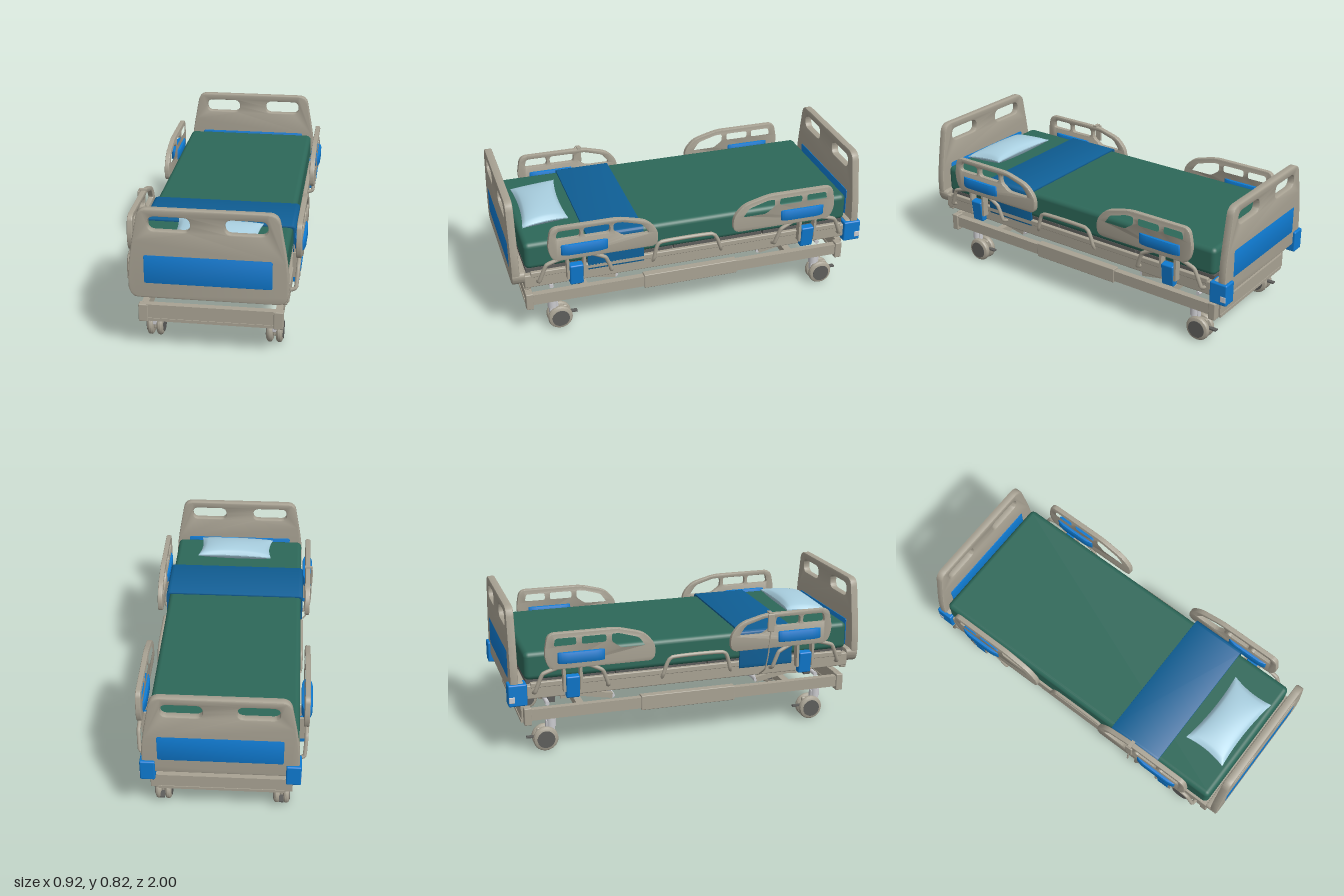
import * as THREE from 'three';
import { toCreasedNormals } from 'three/addons/utils/BufferGeometryUtils.js';
import { RoundedBoxGeometry } from 'three/addons/geometries/RoundedBoxGeometry.js';

const mat = (name, color) => Object.assign(new THREE.MeshStandardMaterial({ color }), { name });
const beige = mat('beige plastic', 0xa8a293);
const blue = mat('bright blue', 0x0f7ad0);
const navy = mat('blanket blue', 0x0f5f96);
const green = mat('mattress green', 0x2d6859);
const pale = mat('pillow blue', 0xa9cfe0);
const white = mat('light grey', 0xcbcbcf);
const dark = mat('dark grey', 0x5e5e5c);

// Closed outline with rounded corners
function roundPoly(pts, r, Type = THREE.Shape) {
  const s = new Type();
  const v = pts.map(p => new THREE.Vector2(...p));
  v.forEach((c, i) => {
    const toward = q => c.clone().lerp(q, Math.min(r / c.distanceTo(q), 0.49));
    const a = toward(v[(i + v.length - 1) % v.length]), b = toward(v[(i + 1) % v.length]);
    i ? s.lineTo(a.x, a.y) : s.moveTo(a.x, a.y);
    s.quadraticCurveTo(c.x, c.y, b.x, b.y);
  });
  s.closePath();
  return s;
}
const rect = (x0, x1, y0, y1) => [[x0, y0], [x1, y0], [x1, y1], [x0, y1]];

// Extrusion centred on its depth, with a small bevel
function slab(shape, depth, bevel = 0.005) {
  const g = new THREE.ExtrudeGeometry(shape, {
    depth: depth - 2 * bevel, bevelSize: bevel, bevelThickness: bevel, bevelOffset: -bevel,
    bevelSegments: 2, bevelEnabled: bevel > 0, curveSegments: 8,
  });
  g.translate(0, 0, bevel - depth / 2);
  return toCreasedNormals(g, 0.6);
}

export function createModel() {
  const model = new THREE.Group();
  model.name = 'hospitalBed';

  const add = (name, geo, material, x = 0, y = 0, z = 0, parent = model) => {
    const m = new THREE.Mesh(geo, material);
    m.name = name;
    m.position.set(x, y, z);
    parent.add(m);
    return m;
  };
  // Box given by its limits, optionally rounded
  const box = (name, material, [x0, x1], [y0, y1], [z0, z1], r = 0, parent = model) => {
    const d = [x1 - x0, y1 - y0, z1 - z0];
    const g = r ? new RoundedBoxGeometry(...d, 3, r) : new THREE.BoxGeometry(...d);
    return add(name, g, material, (x0 + x1) / 2, (y0 + y1) / 2, (z0 + z1) / 2, parent);
  };
  const tube = (name, material, pts, r, parent = model) => add(name, new THREE.TubeGeometry(
    new THREE.CatmullRomCurve3(pts.map(p => new THREE.Vector3(...p)), false, 'catmullrom', 0.2),
    28, r, 8), material, 0, 0, 0, parent);
  const rod = (name, material, len, r, x, y, z) =>
    add(name, new THREE.CylinderGeometry(r, r, len, 20).rotateZ(Math.PI / 2), material, x, y, z);
  // Straight square bar between two points of the y-z plane
  const bar = (name, material, x, [y0, z0], [y1, z1], w, h) => {
    const m = add(name, new THREE.BoxGeometry(w, h, Math.hypot(y1 - y0, z1 - z0)), material,
      x, (y0 + y1) / 2, (z0 + z1) / 2);
    m.rotation.x = -Math.atan2(y1 - y0, z1 - z0);
  };

  // Head and foot boards with grip holes and blue panels on both faces
  const outline = [[-0.375, 0.34], [0.375, 0.34], [0.4, 0.38], [0.4, 0.49], [0.385, 0.6],
    [0.345, 0.82], [-0.345, 0.82], [-0.385, 0.6], [-0.4, 0.49], [-0.4, 0.38]];
  const skirt = [[-0.375, 0.34], [0.375, 0.34], [0.4, 0.38], [0.4, 0.42], [-0.4, 0.42], [-0.4, 0.38]];
  for (const [name, zOut, s] of [['headBoard', 1, 1], ['footBoard', -0.985, -1]]) {
    const board = new THREE.Group();
    board.name = name;
    model.add(board);
    const shape = roundPoly(outline, 0.05);
    for (const a of [-0.295, 0.085])
      shape.holes.push(roundPoly(rect(a, a + 0.21, 0.705, 0.78), 0.037, THREE.Path));
    add(name + 'Panel', slab(shape, 0.042, 0.007), beige, 0, 0, zOut - s * 0.021, board);
    add(name + 'Skirt', slab(roundPoly(skirt, 0.03), 0.068), beige, 0, 0, zOut - s * 0.036, board);
    for (const z of [zOut, zOut - s * 0.042])
      add(name + 'Inlay', slab(roundPoly(rect(-0.32, 0.32, 0.422, 0.575), 0.012), 0.007, 0.002),
        blue, 0, 0, z - s * (z === zOut ? 0.003 : 0), board);
  }

  // Bedding
  box('mattress', green, [-0.394, 0.382], [0.425, 0.58], [-0.91, 0.925], 0.028);
  const drape = roundPoly([[-0.405, 0.375], [-0.405, 0.59], [0.4, 0.59], [0.4, 0.375],
    [0.388, 0.375], [0.388, 0.578], [-0.396, 0.578], [-0.396, 0.375]], 0.025);
  add('blanket', slab(drape, 0.31, 0.002), navy, 0, 0, 0.435);
  const pillow = new THREE.BoxGeometry(2, 2, 2, 28, 1, 20);
  const p = pillow.attributes.position;
  for (let i = 0; i < p.count; i++) {
    const u = p.getX(i), v = p.getZ(i), e = (1 - u * u) * (1 - v * v);
    p.setXYZ(i, u * 0.222 * (1 - 0.07 * (1 - v * v)), Math.sign(p.getY(i)) * (0.003 + 0.042 * e ** 0.45),
      v * 0.124 * (1 - 0.13 * (1 - u * u)));
  }
  pillow.computeVertexNormals();
  add('pillow', pillow, pale, 0.013, 0.61, 0.77).rotation.set(0.1, -0.03, 0);

  // Mattress deck: side rails, cross bars and dark panels
  for (const [a, b] of [[-0.9, -0.42], [-0.41, 0.1], [0.11, 0.4], [0.41, 0.92]])
    box('deckPanel', dark, [-0.365, 0.365], [0.4, 0.425], [a, b]);
  for (const z of [-0.91, -0.41, 0.1, 0.4, 0.91])
    box('deckCrossBar', beige, [-0.37, 0.37], [0.345, 0.4], [z - 0.02, z + 0.02]);
  box('headEndBeam', beige, [-0.39, 0.39], [0.31, 0.37], [0.9, 0.935], 0.006);
  box('footEndBeam', beige, [-0.39, 0.39], [0.31, 0.37], [-0.94, -0.9], 0.006);

  // Wheeled base: end beams and motor parts
  for (const s of [-1, 1]) {
    box('baseEndBeam', beige, [-0.33, 0.33], [0.185, 0.25], [s * 0.91 - 0.014, s * 0.91 + 0.014]);
    for (const y of [0.178, 0.255])
      box('baseBeamLip', beige, [-0.33, 0.33], [y - 0.008, y + 0.008], [s * 0.91 - 0.018, s * 0.91 + 0.018]);
    rod('liftAxle', white, 0.62, 0.014, 0, 0.262, s * 0.42);
    rod('liftPivot', white, 0.56, 0.014, 0, 0.31, s * 0.72);
    box('baseCrossBar', beige, [-0.33, 0.33], [0.2, 0.24], [s * 0.6 - 0.02, s * 0.6 + 0.02]);
    for (const x of [-0.16, 0.16])
      box('liftBracket', beige, [x - 0.05, x + 0.05], [0.245, 0.28], [s * 0.78 - 0.03, s * 0.78 + 0.03], 0.005);
    rod('endAxle', white, 0.64, 0.012, 0, 0.26, s * 0.78);
  }
  for (const x of [-0.13, 0.13])
    box('underTray', white, [x - 0.1, x + 0.1], [0.285, 0.33], [0.6, 0.85], 0.018);
  box('motorHousing', white, [-0.11, 0.11], [0.29, 0.37], [0.3, 0.58], 0.03);
  rod('motor', white, 0.24, 0.05, 0.16, 0.305, 0.33);
  box('footMotor', white, [-0.08, 0.08], [0.285, 0.34], [-0.5, -0.31], 0.02);
  for (const s of [-1, 1])
    bar('actuator', white, s * 0.12, [0.31, -0.4], [0.33, -0.72], 0.035, 0.035);

  // One caster: twin wheels on a forked stem with a brake pedal
  const tread = [[0, -0.018], [0.052, -0.018], [0.063, -0.013], [0.068, -0.005], [0.068, 0.005],
    [0.063, 0.013], [0.052, 0.018], [0, 0.018]].map(q => new THREE.Vector2(...q));
  const wheelGeo = toCreasedNormals(new THREE.LatheGeometry(tread, 28).rotateZ(-Math.PI / 2), 0.5);
  const hubGeo = new THREE.CylinderGeometry(0.048, 0.048, 0.004, 28).rotateZ(Math.PI / 2);
  function caster(x, z) {
    const c = new THREE.Group();
    c.name = 'caster';
    c.position.set(x, 0, z);
    model.add(c);
    for (const s of [-1, 1]) {
      add('wheel', wheelGeo, beige, s * 0.025, 0.068, 0, c);
      add('hubCap', hubGeo, dark, s * 0.0435, 0.068, 0, c);
    }
    box('casterFork', white, [-0.014, 0.014], [0.075, 0.17], [0.005, 0.055], 0.006, c);
    add('casterStem', new THREE.CylinderGeometry(0.027, 0.027, 0.06, 20), white, 0, 0.16, 0.036, c);
    box('casterCover', beige, [-0.01, 0.01], [0.05, 0.125], [-0.045, 0.045], 0.008, c);
    box('brakePedal', dark, [-0.012, 0.012], [0.073, 0.081], [-0.1, -0.05], 0, c);
  }

  // Folding side guard in the z-y plane; k = 1 near the head, -1 near the foot
  const guardLine = [[0.785, 0.49], [0.812, 0.57], [0.79, 0.69], [0.42, 0.69], [0.27, 0.65],
    [0.21, 0.58], [0.215, 0.49]];
  const guardHoles = [[[0.765, 0.615], [0.755, 0.665], [0.635, 0.665], [0.635, 0.615]],
    rect(0.475, 0.615, 0.615, 0.665),
    [[0.455, 0.615], [0.455, 0.665], [0.41, 0.665], [0.3, 0.632], [0.26, 0.575], [0.4, 0.575]]];
  function guard(side, k) {
    const g = new THREE.Group();
    g.name = 'sideGuard';
    model.add(g);
    const flip = pts => pts.map(([u, y]) => [u * k, y]);
    const shape = roundPoly(flip(guardLine), 0.04);
    for (const h of guardHoles) shape.holes.push(roundPoly(flip(h), 0.018, THREE.Path));
    add('guardPanel', slab(shape, 0.028).rotateY(-Math.PI / 2), beige, side * 0.431, 0, 0, g);
    const swell = roundPoly([[-0.13, -0.018], [-0.085, -0.029], [0.085, -0.029], [0.13, -0.018],
      [0.13, 0.018], [0.085, 0.029], [-0.085, 0.029], [-0.13, 0.018]], 0.02);
    add('guardGrip', slab(swell, 0.062, 0.006).rotateX(Math.PI / 2).rotateY(Math.PI / 2),
      blue, side * 0.431, 0.553, k * 0.615, g);
    const limb = pts => tube('guardLink', beige, pts.map(([x, y, u]) => [side * x, y, k * u]), 0.011, g);
    limb([[0.39, 0.36, 0.865], [0.425, 0.375, 0.86], [0.432, 0.47, 0.82], [0.432, 0.497, 0.74]]);
    limb([[0.39, 0.36, 0.465], [0.425, 0.375, 0.468], [0.432, 0.46, 0.5], [0.432, 0.497, 0.57]]);
    const mount = box('guardMount', blue, [-0.022, 0.022], [-0.062, 0.062], [-0.037, 0.037], 0.008, g);
    mount.position.set(side * 0.414, 0.383, k * 0.66);
    mount.rotation.z = -side * 0.12;
    for (const u of [0.615, 0.705])
      box('mountCheek', beige, [side * 0.415 - 0.02, side * 0.415 + 0.02], [0.36, 0.495],
        [k * u - 0.007, k * u + 0.007], 0, g);
  }

  // Everything that is mirrored left and right
  for (const s of [-1, 1]) {
    const span = (c, w) => [s * c - w, s * c + w];
    box('deckRail', beige, span(0.382, 0.016), [0.325, 0.4], [-0.9, 0.935], 0.006);
    box('deckRailCap', beige, span(0.388, 0.012), [0.385, 0.415], [-0.88, 0.9], 0.005);
    box('baseRail', beige, span(0.345, 0.018), [0.188, 0.25], [-0.9, 0.9]);
    box('baseSleeve', beige, span(0.345, 0.022), [0.177, 0.26], [-0.27, 0.27], 0.004);
    for (const z of [-0.895, 0.91])
      box('baseCorner', beige, span(0.346, 0.025), [0.165, 0.262], [z - 0.02, z + 0.02], 0.005);
    box('cornerBumper', blue, span(0.372, 0.039), [0.295, 0.415], [-1, -0.9], 0.008);
    box('bumperRoller', white, span(0.395, 0.018), [0.315, 0.35], [-0.997, -0.965], 0.004);
    for (const z of [0.745, -0.8]) caster(s * 0.315, z);
    for (const k of [-1, 1]) {
      guard(s, k);
      bar('liftArm', beige, s * 0.3, [0.262, k * 0.42], [0.325, k * 0.76], 0.025, 0.03);
      bar('liftLink', beige, s * 0.27, [0.295, k * 0.4], [0.275, k * 0.7], 0.02, 0.025);
      box('liftPost', dark, span(0.257, 0.013), [0.245, 0.345], [k * 0.75 - 0.02, k * 0.75 + 0.02]);
    }
    tube('sideHandle', beige, [[s * 0.385, 0.36, 0.235], [s * 0.4, 0.385, 0.225], [s * 0.4, 0.48, 0.19],
      [s * 0.4, 0.48, -0.11], [s * 0.4, 0.385, -0.158], [s * 0.385, 0.36, -0.165]], 0.011);
  }

  // Hand control hooked over a guard, with its cable
  box('handControl', beige, [-0.461, -0.449], [0.59, 0.69], [0.42, 0.46], 0.005);
  box('controlHook', beige, [-0.455, -0.412], [0.69, 0.697], [0.43, 0.45]);
  tube('controlCable', beige, [[-0.455, 0.6, 0.44], [-0.452, 0.46, 0.43], [-0.435, 0.37, 0.42],
    [-0.39, 0.325, 0.4]], 0.004);

  return model;
}
